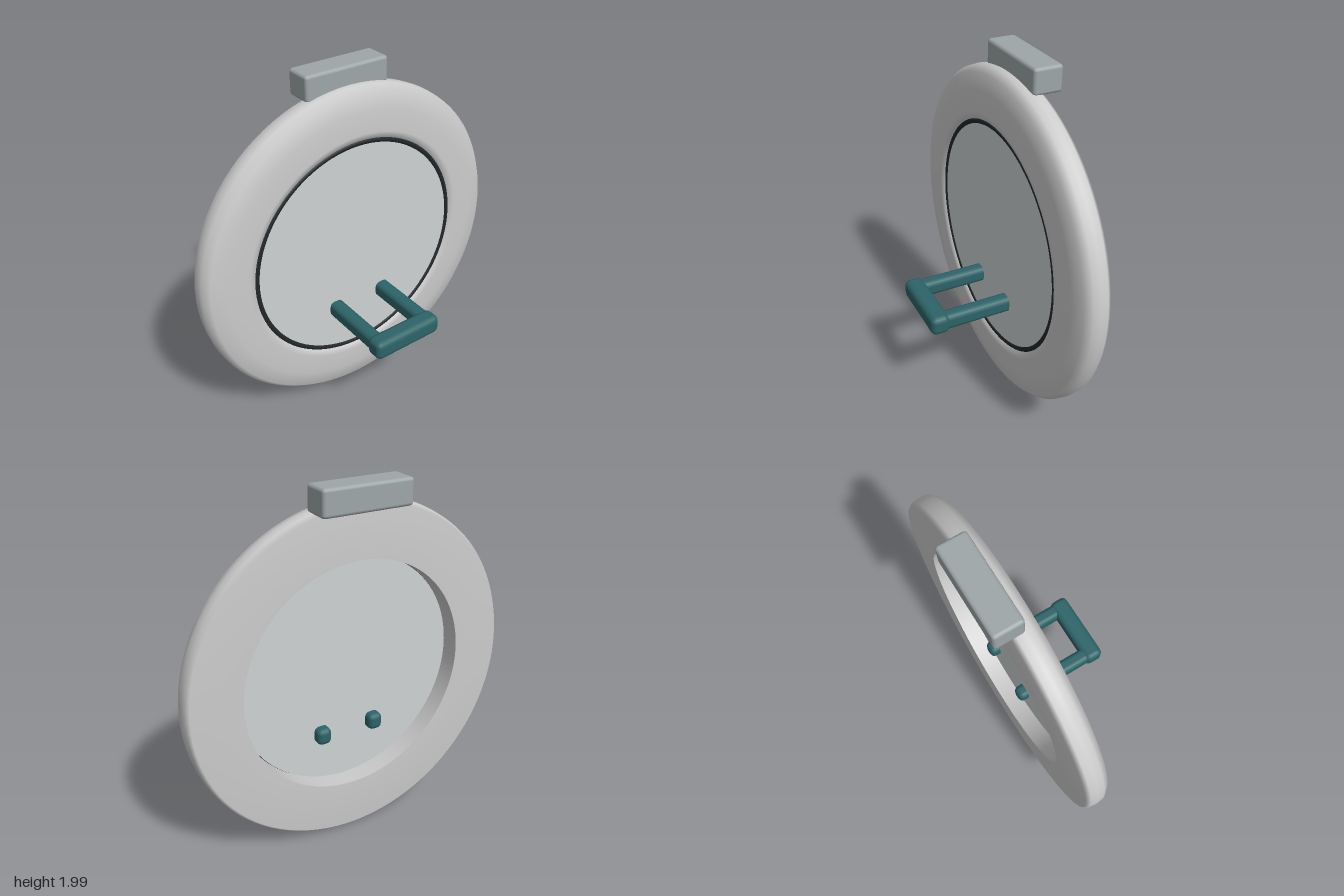
import * as THREE from 'three';
import { RoundedBoxGeometry } from 'three/addons/geometries/RoundedBoxGeometry.js';

const CENTRE_Y = 0.955;

export function createModel() {
  const model = new THREE.Group();
  const mat = (color) => new THREE.MeshStandardMaterial({ color });
  const frameMat = mat(0xcccccc);
  const glassMat = mat(0xcdd2d3);
  const sealMat = mat(0x22272a);
  const handleMat = mat(0x2c6468);
  const hingeMat = mat(0x9ea6a8);

  function add(name, geometry, material, x, y, z) {
    const mesh = new THREE.Mesh(geometry, material);
    mesh.name = name;
    mesh.position.set(x, y, z);
    model.add(mesh);
    return mesh;
  }

  // Box given by its limits on each axis, with rounded edges
  function roundedBox(name, material, [x0, x1], [y0, y1], [z0, z1], radius) {
    const geometry = new RoundedBoxGeometry(x1 - x0, y1 - y0, z1 - z0, 2, radius);
    return add(name, geometry, material, (x0 + x1) / 2, (y0 + y1) / 2, (z0 + z1) / 2);
  }

  // Door ring: closed profile of radius and depth, turned to face +z
  const profile = [
    [0.648, -0.262], [0.925, -0.262], [0.942, -0.24], [0.947, -0.2],
    [0.943, -0.16], [0.912, -0.122], [0.82, -0.11], [0.7, -0.103],
    [0.668, -0.11], [0.65, -0.135], [0.648, -0.15], [0.648, -0.262],
  ].map(([r, z]) => new THREE.Vector2(r, z));
  const ring = new THREE.LatheGeometry(profile, 96).rotateX(Math.PI / 2);
  add('doorRing', ring, frameMat, 0, CENTRE_Y, 0);

  // Window pane set inside the seal
  const pane = new THREE.CylinderGeometry(0.645, 0.645, 0.038, 96).rotateX(Math.PI / 2);
  add('windowPane', pane, glassMat, 0, CENTRE_Y, -0.139);
  add('windowSeal', new THREE.TorusGeometry(0.65, 0.019, 12, 96), sealMat, 0, CENTRE_Y, -0.132);

  // Hinge block on the top edge
  roundedBox('hingeBlock', hingeMat, [-0.25, 0.25], [1.86, 2], [-0.35, -0.19], 0.018);

  // Handle: grip bar on two posts that pass through the pane
  roundedBox('handleGrip', handleMat, [-0.215, 0.215], [0.555, 0.667], [0.24, 0.35], 0.033);
  for (const side of [-1, 1]) {
    const x = side * 0.162;
    roundedBox(side > 0 ? 'leftHandlePost' : 'rightHandlePost', handleMat,
      [x - 0.042, x + 0.042], [0.563, 0.659], [-0.215, 0.28], 0.03);
  }

  return model;
}
